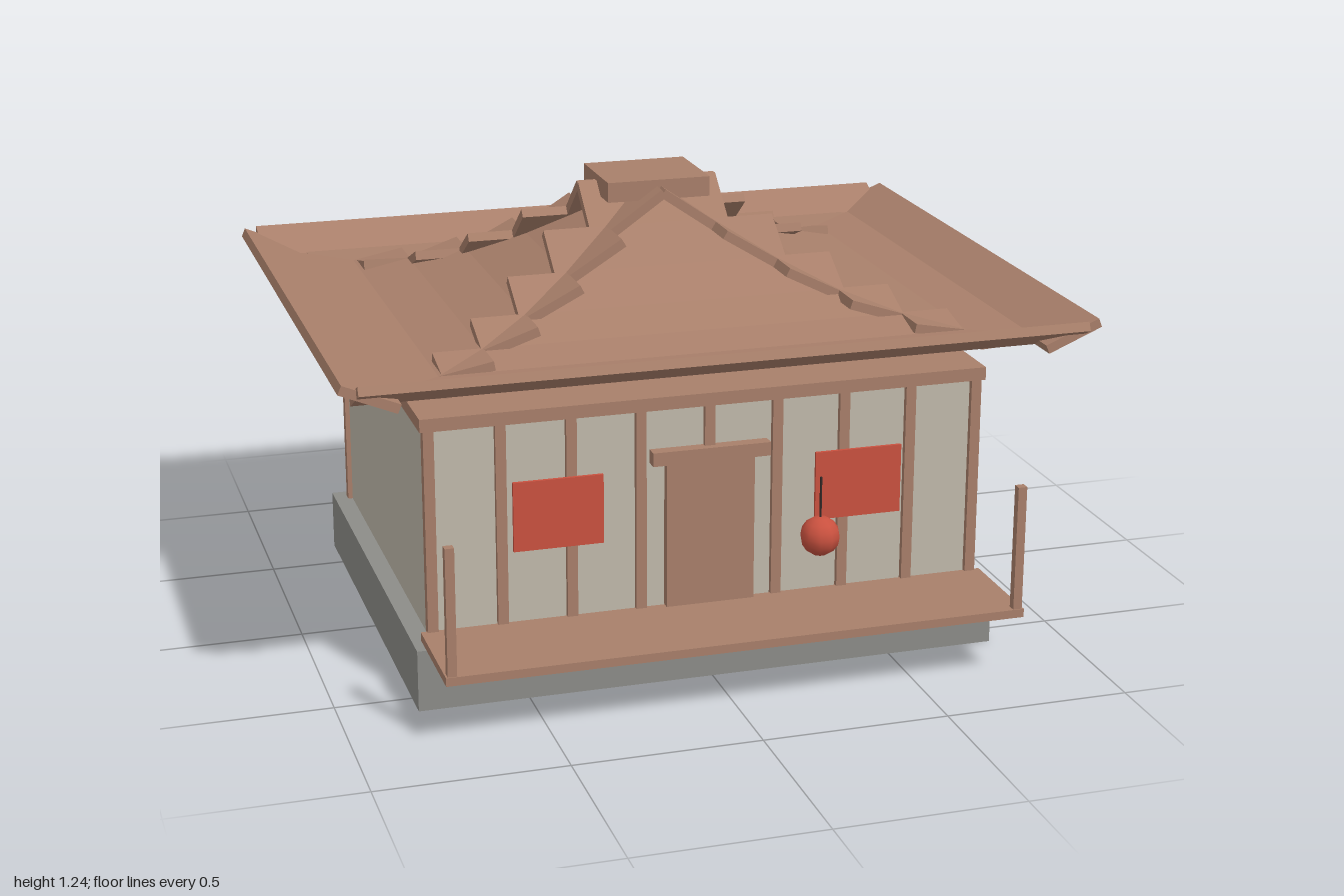
import * as THREE from 'three';

function mat(name, color) {
  const m = new THREE.MeshStandardMaterial({ color });
  m.name = name;
  return m;
}

export function createModel() {
  const wood = mat('wood', 0xa87f6a);
  const stone = mat('stone', 0x8c8c88);
  const plaster = mat('plaster', 0xc0b9ab);
  const red = mat('red', 0xc9513f);
  const dark = mat('dark cord', 0x332a28);

  const model = new THREE.Group();
  model.name = 'house';

  // box given by its minimum and maximum corners
  function box(name, material, [x0, y0, z0], [x1, y1, z1]) {
    const mesh = new THREE.Mesh(new THREE.BoxGeometry(x1 - x0, y1 - y0, z1 - z0), material);
    mesh.position.set((x0 + x1) / 2, (y0 + y1) / 2, (z0 + z1) / 2);
    mesh.name = name;
    model.add(mesh);
    return mesh;
  }

  // foundation, walls and top plate
  box('foundation', stone, [-0.795, 0, -0.64], [0.795, 0.167, 0.585]);
  box('walls', plaster, [-0.745, 0.167, -0.59], [0.745, 0.75, 0.535]);
  box('topPlate', wood, [-0.767, 0.745, -0.61], [0.767, 0.78, 0.555]);

  // timber posts along the front and back
  for (let i = -4; i <= 4; i++) {
    const x = i * 0.186;
    box('frontPost', wood, [x - 0.014, 0.167, 0.522], [x + 0.014, 0.746, 0.55]);
    box('backPost', wood, [x - 0.014, 0.167, -0.605], [x + 0.014, 0.746, -0.577]);
  }

  // porch deck with its two posts
  box('porchDeck', wood, [-0.775, 0.177, 0.54], [0.775, 0.2, 0.84]);
  for (const s of [-1, 1]) {
    const x = s * 0.758;
    box('porchPost', wood, [x - 0.012, 0.2, 0.814], [x + 0.012, 0.54, 0.837]);
  }

  // door, lintel and red wall panels
  box('door', wood, [-0.12, 0.2, 0.53], [0.12, 0.6, 0.56]);
  box('lintel', wood, [-0.16, 0.598, 0.53], [0.16, 0.635, 0.57]);
  for (const s of [-1, 1]) {
    const x = s * 0.41;
    box('wallPanel', red, [x - 0.12, 0.4, 0.55], [x + 0.12, 0.588, 0.559]);
  }

  // hanging lantern
  const lantern = new THREE.Mesh(new THREE.SphereGeometry(0.052, 10, 8), red);
  lantern.name = 'lantern';
  lantern.position.set(0.22, 0.448, 0.787);
  const cord = new THREE.Mesh(new THREE.CylinderGeometry(0.003, 0.003, 0.11, 6), dark);
  cord.name = 'lanternCord';
  cord.position.set(0.22, 0.552, 0.787);
  model.add(lantern, cord);

  // roof: seven overlapping planks on each side follow a curve that lifts at the eaves
  const heights = [1.207, 1.108, 1.02, 0.948, 0.9, 0.873, 0.879, 0.938];
  const roof = new THREE.Group();
  roof.name = 'roof';
  roof.position.z = -0.033;
  const sides = [
    { name: 'frontRoof', reach: 0.803, width: 0.195, step: 0.127 },
    { name: 'leftRoof', reach: 0.996, width: 0.166, step: 0.1025 },
  ];
  for (let q = 0; q < 4; q++) {
    const { name, reach, width, step } = sides[q % 2];
    const side = new THREE.Group();
    side.name = q < 2 ? name : ['backRoof', 'rightRoof'][q - 2];
    side.rotation.y = q * Math.PI / 2;
    const dr = reach / 7;
    for (let k = 0; k < 7; k++) {
      const dy = heights[k + 1] - heights[k];
      const geo = new THREE.BoxGeometry(2 * (width + step * k), 0.025, Math.hypot(dr, dy) + 0.004);
      const plank = new THREE.Mesh(geo, wood);
      plank.name = 'roofPlank';
      plank.position.set(0, heights[k] + dy / 2, dr * (k + 0.5));
      plank.rotation.x = Math.atan2(-dy, dr);
      side.add(plank);
    }
    roof.add(side);
  }
  const cap = new THREE.Mesh(new THREE.BoxGeometry(0.285, 0.054, 0.245), wood);
  cap.name = 'roofCap';
  cap.position.y = 1.209;
  roof.add(cap);
  model.add(roof);

  return model;
}
